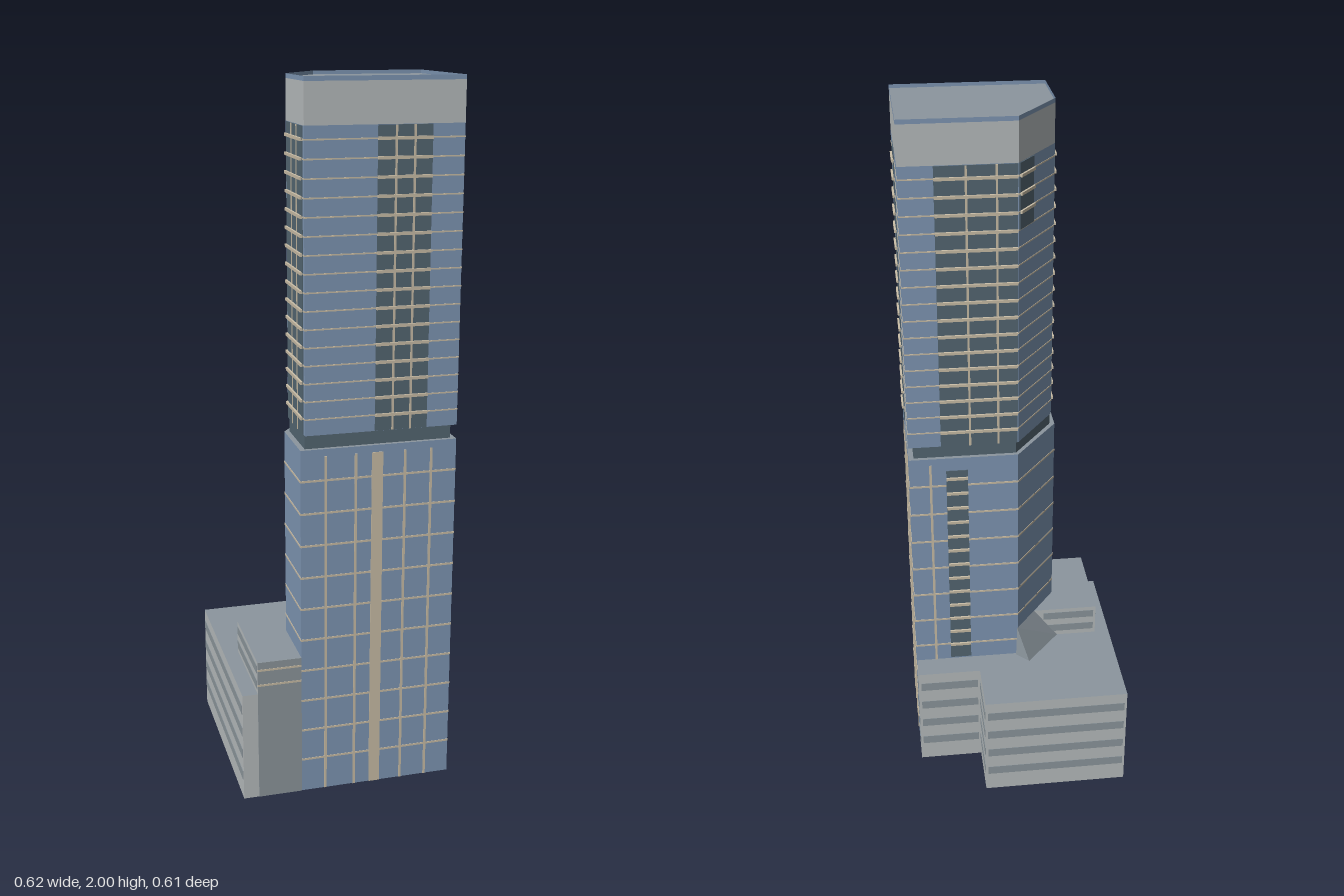
import * as THREE from 'three';
import { ConvexGeometry } from 'three/addons/geometries/ConvexGeometry.js';

const mat = (name, color, side = THREE.FrontSide) => {
  const m = new THREE.MeshStandardMaterial({ color, side });
  m.name = name;
  return m;
};

export function createModel() {
  const glass = mat('blueGlass', 0x7f97b5, THREE.DoubleSide);
  const slate = mat('darkSlate', 0x556773);
  const pale = mat('paleGrey', 0xb8bdbe, THREE.DoubleSide);
  const grey = mat('midGrey', 0x8d979d);
  const roof = mat('roofGrey', 0x8c969e, THREE.DoubleSide);
  const beige = mat('beige', 0xcbbfa8);

  const model = new THREE.Group();
  model.name = 'towerBuilding';
  const group = (name) => {
    const g = new THREE.Group();
    g.name = name;
    model.add(g);
    return g;
  };
  const add = (parent, name, geometry, material) => {
    const m = new THREE.Mesh(geometry, material);
    m.name = name;
    parent.add(m);
    return m;
  };

  // Upright walls along a plan path of [x, z] points
  const walls = (parent, name, path, y0, y1, material, closed = true) => {
    const pos = [];
    const n = closed ? path.length : path.length - 1;
    for (let i = 0; i < n; i++) {
      const [ax, az] = path[i], [bx, bz] = path[(i + 1) % path.length];
      pos.push(ax, y0, az, bx, y0, bz, bx, y1, bz, ax, y0, az, bx, y1, bz, ax, y1, az);
    }
    const g = new THREE.BufferGeometry();
    g.setAttribute('position', new THREE.Float32BufferAttribute(pos, 3));
    g.computeVertexNormals();
    add(parent, name, g, material);
  };

  // Flat horizontal cap over a plan outline
  const cap = (parent, name, plan, y, material, down = false) => {
    const s = down ? 1 : -1;
    const shape = new THREE.Shape(plan.map(([x, z]) => new THREE.Vector2(x, s * z)));
    const g = new THREE.ShapeGeometry(shape).rotateX(s * Math.PI / 2).translate(0, y, 0);
    add(parent, name, g, material);
  };

  // Plate on the wall a-b, from distance s0 to s1 along it, standing out by "out"
  const plate = (parent, name, a, b, s0, s1, y0, y1, out, material) => {
    const dx = b[0] - a[0], dz = b[1] - a[1], len = Math.hypot(dx, dz);
    const t = (s0 + s1) / 2 / len;
    const m = add(parent, name, new THREE.BoxGeometry(s1 - s0, y1 - y0, out * 2), material);
    m.position.set(a[0] + dx * t, (y0 + y1) / 2, a[1] + dz * t);
    m.rotation.y = Math.atan2(-dz, dx);
  };
  const length = (a, b) => Math.hypot(b[0] - a[0], b[1] - a[1]);
  const floorLines = (parent, plan, ys, h) => plan.forEach((a, i) => {
    const b = plan[(i + 1) % plan.length];
    for (const y of ys) plate(parent, 'floorLine', a, b, 0, length(a, b), y - h / 2, y + h / 2, 0.0012, beige);
  });

  // Plans run front, right, back, chamfer, left
  const lower = [[-0.14, 0.295], [0.302, 0.295], [0.302, -0.066], [-0.01, -0.066], [-0.14, 0.11]];
  const upper = [[-0.127, 0.295], [0.302, 0.295], [0.302, -0.066], [-0.01, -0.066], [-0.127, 0.1]];
  const neckPlan = [[-0.125, 0.283], [0.288, 0.283], [0.288, -0.054], [-0.005, -0.054], [-0.125, 0.112]];

  // Lower tower
  const low = group('lowerTower');
  walls(low, 'lowerWalls', lower, 0, 1.03, glass);
  cap(low, 'lowerBase', lower, 0, glass, true);
  cap(low, 'lowerTop', lower, 1.03, roof);
  floorLines(low, lower, Array.from({ length: 10 }, (_, i) => 0.1 + i * 0.0935), 0.006);
  const mullion = (face, s, w) =>
    plate(low, 'mullion', lower[face], lower[face + 1], s - w / 2, s + w / 2, 0, 1.01, 0.002, beige);
  [0.07, 0.155, 0.295, 0.37].forEach((s) => mullion(0, s, 0.007));
  mullion(0, 0.216, 0.032);
  [0.075, 0.14, 0.285].forEach((s) => mullion(1, s, 0.006));
  mullion(1, 0.212, 0.012);
  mullion(2, 0.06, 0.007);

  // Neck between the two tower parts
  walls(group('neck'), 'neckWalls', neckPlan, 1.03, 1.07, slate);

  // Upper tower
  const up = group('upperTower');
  const floors = Array.from({ length: 16 }, (_, i) => 1.115 + i * 0.0487);
  walls(up, 'upperWalls', upper, 1.07, 1.88, glass);
  cap(up, 'upperUnderside', upper, 1.07, slate, true);
  floorLines(up, upper, floors, 0.004);

  // Crown, parapet and roof
  const crown = group('crown');
  walls(crown, 'crownBand', upper, 1.88, 1.988, pale);
  walls(crown, 'parapet', upper, 1.988, 2, glass);
  cap(crown, 'towerRoof', upper, 1.99, roof);

  // Recessed-looking balcony strips with projecting slabs
  const balconies = group('balconies');
  const strip = (plan, face, s0, s1, y0, y1, ys, posts = []) => {
    const a = plan[face], b = plan[(face + 1) % plan.length];
    plate(balconies, 'balconyStrip', a, b, s0, s1, y0, y1, 0.0025, slate);
    for (const y of ys) {
      if (y > y0 && y < y1) plate(balconies, 'balconySlab', a, b, s0, s1, y - 0.004, y + 0.004, 0.008, beige);
    }
    for (const s of posts) plate(balconies, 'balconyPost', a, b, s - 0.003, s + 0.003, y0, y1, 0.004, beige);
  };
  strip(upper, 0, 0.194, 0.341, 1.071, 1.879, floors, [0.243, 0.293]);
  strip(upper, 1, 0.115, 0.193, 1.071, 1.879, floors);
  strip(upper, 2, 0.092, 0.31, 1.071, 1.879, floors, [0.175, 0.255]);
  strip(upper, 3, 0.004, 0.08, 1.7, 1.879, floors);
  strip(upper, 4, 0.012, 0.18, 1.071, 1.879, floors, [0.07, 0.125]);
  strip(lower, 2, 0.105, 0.167, 0.33, 0.99, Array.from({ length: 13 }, (_, i) => 0.38 + i * 0.0487));

  // Podium, open underneath
  const podium = group('podium');
  const outer = [[0.302, -0.066], [0.302, -0.14], [0.115, -0.14], [0.115, -0.302],
    [-0.31, -0.302], [-0.31, 0.295], [-0.14, 0.295]];
  walls(podium, 'podiumWalls', outer, 0, 0.325, pale, false);
  cap(podium, 'podiumRoof', [...outer, [-0.14, 0.11], [-0.01, -0.066]], 0.325, roof);
  for (let i = 0; i < 5; i++) {
    const a = outer[i], b = outer[i + 1];
    for (const y of [0.058, 0.127, 0.196, 0.265]) {
      plate(podium, 'windowBand', a, b, 0.007, length(a, b) - 0.007, y, y + 0.027, 0.0015, grey);
    }
  }

  // Raised block on the podium
  const block = group('raisedBlock');
  const blockPlan = [[-0.266, 0.295], [-0.14, 0.295], [-0.14, 0.11], [-0.071, 0.015], [-0.266, 0.015]];
  const [fl, fr, , br, bl] = blockPlan;
  walls(block, 'blockWalls', blockPlan, 0.325, 0.422, pale);
  cap(block, 'blockRoof', blockPlan, 0.422, roof);
  plate(block, 'blockFront', fl, fr, 0, 0.126, 0, 0.422, 0.0015, grey);
  for (const y of [0.352, 0.398]) {
    plate(block, 'blockLine', fl, fr, 0, 0.126, y - 0.003, y + 0.003, 0.0025, beige);
    plate(block, 'blockBand', br, bl, 0.03, 0.188, y - 0.012, y + 0.012, 0.0015, grey);
    plate(block, 'blockBand', bl, fl, 0.007, 0.273, y - 0.012, y + 0.012, 0.0015, grey);
  }

  // Sloping roof leaning on the chamfered tower wall
  const wedge = [[-0.071, 0.422, 0.015], [-0.008, 0.422, -0.068], [-0.145, 0.325, 0.015],
    [-0.04, 0.325, -0.11], [-0.004, 0.325, -0.072], [-0.071, 0.325, 0.015]];
  add(model, 'slopingRoof', new ConvexGeometry(wedge.map((p) => new THREE.Vector3(...p))), roof);

  return model;
}
